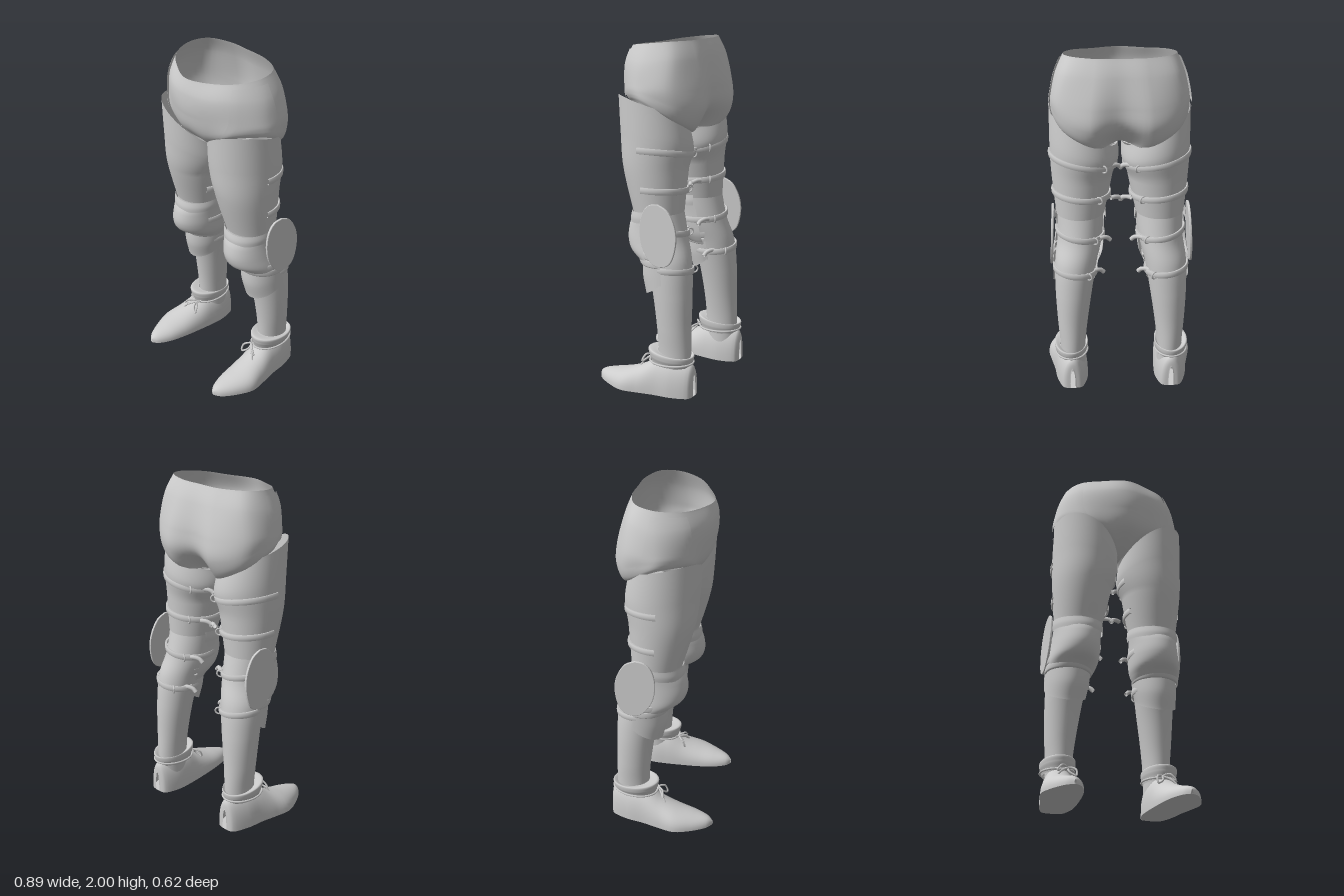
import * as THREE from 'three';
import { ParametricGeometry } from 'three/addons/geometries/ParametricGeometry.js';

const grey = new THREE.MeshStandardMaterial({ color: 0xcccccc, side: THREE.DoubleSide });
grey.name = 'grey';

function add(group, name, geometry) {
  const m = new THREE.Mesh(geometry, grey);
  m.name = name;
  group.add(m);
  return m;
}

// Smooth interpolation through rows of numbers, t in 0..1
function sample(rows, t) {
  const f = Math.min(Math.max(t, 0), 1) * (rows.length - 1);
  const i = Math.min(Math.floor(f), rows.length - 2), s = f - i;
  const at = (k) => rows[Math.min(Math.max(k, 0), rows.length - 1)];
  const [a, b, c, d] = [at(i - 1), at(i), at(i + 1), at(i + 2)];
  return b.map((p, k) => p + 0.5 * s * (c[k] - a[k]
    + s * (2 * a[k] - 5 * p + 4 * c[k] - d[k] + s * (3 * (p - c[k]) + d[k] - a[k]))));
}

// Surface through elliptical rings [y, cx, cz, rx, rz]; angle PI/2 is the front
function loft(rows, { a0 = 0, a1 = Math.PI * 2, nu = 40, nv = 24, shift = () => 0 } = {}) {
  return new ParametricGeometry((u, v, p) => {
    const [y, cx, cz, rx, rz] = sample(rows, v);
    const a = a0 + (a1 - a0) * u;
    p.set(cx + rx * Math.cos(a), y + shift(a, v, y), cz + rz * Math.sin(a));
  }, nu, nv);
}

// Trunks: half columns run from front centre, round the side, to back centre
const trunkRows = [
  [[0, 1.955, .225], [.15, 1.96, .17], [.26, 1.975, .09], [.31, 1.99, -.03], [.27, 2, -.14], [.14, 2, -.195], [0, 2, -.2]],
  [[0, 1.87, .245], [.15, 1.87, .208], [.285, 1.88, .115], [.355, 1.88, -.02], [.31, 1.9, -.17], [.15, 1.9, -.235], [0, 1.9, -.235]],
  [[0, 1.76, .24], [.15, 1.76, .205], [.295, 1.77, .12], [.377, 1.77, -.01], [.345, 1.76, -.18], [.17, 1.74, -.275], [0, 1.74, -.258]],
  [[0, 1.64, .2], [.12, 1.65, .19], [.27, 1.71, .14], [.382, 1.73, -.01], [.335, 1.66, -.19], [.17, 1.62, -.28], [0, 1.62, -.235]],
  [[0, 1.52, .06], [.07, 1.58, .14], [.23, 1.67, .15], [.38, 1.7, -.01], [.32, 1.6, -.18], [.15, 1.51, -.22], [0, 1.51, -.1]],
  [[0, 1.505, -.02], [.03, 1.53, .05], [.21, 1.65, .13], [.37, 1.68, -.01], [.3, 1.58, -.16], [.05, 1.5, -.12], [0, 1.5, -.03]],
];
const trunkCurves = trunkRows.map((row) => new THREE.CatmullRomCurve3([
  ...row.map((p) => new THREE.Vector3(...p)),
  ...row.slice(1, 6).reverse().map(([x, y, z]) => new THREE.Vector3(-x, y, z)),
], true, 'catmullrom'));
const trunkPoint = (col, v, p) =>
  p.set(...sample(trunkCurves.map((c) => c.getPoint(col / 12).toArray()), v));

// Rings of the leg, top to bottom
const thighRows = [
  [1.72, .203, 0, .192, .2], [1.5, .203, -.017, .194, .207],
  [1.3, .216, -.017, .176, .187], [1.06, .23, -.042, .14, .147],
];
const shinRows = [
  [1.1, .23, -.04, .134, .14], [.92, .235, -.065, .13, .155], [.78, .262, -.13, .121, .13],
  [.6, .278, -.16, .107, .115], [.4, .288, -.176, .088, .102], [.25, .29, -.183, .075, .098], [.1, .29, -.183, .073, .095],
];
function ringAt(y) {
  const rows = [...thighRows, ...shinRows.slice(1)];
  let i = 0;
  while (i < rows.length - 2 && rows[i + 1][0] > y) i++;
  const t = (rows[i][0] - y) / (rows[i][0] - rows[i + 1][0]);
  return rows[i].map((n, k) => n + (rows[i + 1][k] - n) * t);
}

// A flat strap that follows the leg at height y
function strap(y, grow, height, opts) {
  const [, cx, cz, rx, rz] = ringAt(y);
  const ring = (dy, g) => [y + dy, cx, cz, rx + g, rz + g];
  return loft([ring(height / 2, 0), ring(height / 2, grow), ring(-height / 2, grow), ring(-height / 2, 0)],
    { nv: 6, ...opts });
}

function buildFoot() {
  const rows = [ // z, cx, half width, height
    [-.312, .295, .015, .13], [-.295, .295, .06, .19], [-.2, .298, .092, .215], [-.1, .305, .1, .205], [0, .32, .108, .145],
    [.1, .333, .111, .105], [.2, .325, .085, .075], [.28, .318, .045, .05], [.312, .315, .006, .025],
  ];
  return new ParametricGeometry((u, v, p) => {
    const [z, cx, w, h] = sample(rows, v), s = Math.sin(u * Math.PI * 2);
    p.set(cx + w * Math.cos(u * Math.PI * 2), .005 + h * Math.pow(Math.max(s, 0), .8), z);
  }, 40, 32);
}

function buildLeg() {
  const leg = new THREE.Group();
  const PI = Math.PI;

  // Thigh plate: upper edge falls toward the crotch and the back
  add(leg, 'thighPlate', loft(thighRows, {
    nu: 48,
    shift: (a, v, y) => -Math.max(0, (y - 1.3) / .42)
      * (.2 * ((1 - Math.cos(a)) / 2) ** 2 + .1 * ((1 - Math.sin(a)) / 2) ** 1.5),
  }));
  add(leg, 'lowerLeg', loft(shinRows, { nv: 36 }));

  // Knee guard: cap, upper rim and overlapping lower bands
  const wrap = { a0: -.25, a1: PI + .25 };
  add(leg, 'kneeRim', loft([[1.075, .231, -.045, .147, .155], [1.04, .231, -.045, .15, .163], [1.01, .231, -.045, .147, .163]],
    { ...wrap, nv: 8, shift: (a) => -.02 * Math.sin(a) }));
  add(leg, 'kneeCap', loft([[1.02, .232, -.045, .14, .155], [.97, .235, -.055, .14, .185], [.9, .24, -.063, .143, .2],
    [.84, .248, -.075, .145, .19], [.8, .257, -.09, .14, .15], [.77, .263, -.1, .13, .115]], wrap));
  [[.83, .15], [.79, .135]].forEach(([y, depth], i) => add(leg, 'kneeBand' + (i + 1), loft([
    [y + .018, .262, -.1, .13, depth], [y + .015, .262, -.1, .139, depth + .015],
    [y - .018, .266, -.1, .136, depth], [y - .022, .266, -.1, .128, depth - .015],
  ], { ...wrap, nv: 8 })));

  // Pointed flap over the upper shin
  add(leg, 'shinFlap', loft([[.79, .264, -.13, .132, .155], [.73, .268, -.135, .128, .158], [.67, .275, -.14, .12, .138]],
    { a0: -.1, a1: PI + .1, nv: 12, shift: (a, v) => -.09 * v * Math.max(0, Math.sin(a)) ** .8 }));

  // Side disc at the knee; shape x becomes z
  const outline = [[-.13, 1.13], [-.19, 1.1], [-.235, 1.02], [-.245, .93], [-.22, .83], [-.17, .79],
    [-.1, .8], [-.04, .88], [-.02, .98], [-.035, 1.07], [-.075, 1.12]];
  const curve = new THREE.SplineCurve([...outline, outline[0]].map(([z, y]) => new THREE.Vector2(z, y - .96)));
  const disc = new THREE.ExtrudeGeometry(new THREE.Shape(curve.getPoints(48)),
    { depth: .008, bevelEnabled: true, bevelSize: .004, bevelThickness: .003, bevelSegments: 2 });
  disc.rotateY(-PI / 2).rotateZ(.045).translate(.398, .96, 0);
  add(leg, 'kneeSideDisc', disc);

  // Straps across the back, each with a loose end and buckle on the inner side
  [[1.39, .016, .033, .35], [1.185, .013, .015, .4], [.945, .08, .02, .4], [.74, .12, .015, .45]]
    .forEach(([y, x, rise, ext], i) => {
      add(leg, 'strap' + (i + 1), strap(y, .012, .032, {
        a0: PI - ext, a1: PI * 2 + .05, shift: (a) => rise * Math.cos(a),
      }));
      const end = new THREE.CatmullRomCurve3([[.045, .012, -.03], [.02, .012, -.015], [-.004, .002, 0], [-.02, -.015, .006]]
        .map(([dx, dy, dz]) => new THREE.Vector3(x + dx, y - rise + dy, -.1 - i * .02 + dz)));
      add(leg, 'strapEnd' + (i + 1), new THREE.TubeGeometry(end, 10, .013, 8));
      const [, cx, cz, rx, rz] = ringAt(y);
      const buckle = add(leg, 'buckle' + (i + 1), new THREE.TorusGeometry(.02, .005, 6, 12));
      buckle.position.set(cx + (rx + .014) * Math.cos(4.1), y + rise * Math.cos(4.1), cz + (rz + .014) * Math.sin(4.1));
      buckle.rotation.y = -.6;
    });

  // Shoe, ankle cuff and lace
  add(leg, 'shoe', buildFoot());
  add(leg, 'ankleCuff', loft([[.245, .292, -.18, .076, .098], [.255, .3, -.165, .098, .138], [.225, .3, -.165, .098, .137],
    [.2, .299, -.165, .09, .128], [.18, .298, -.165, .085, .12]],
  { nv: 16, shift: (a, v) => .014 * Math.sin(a) * (1 - v) }));
  const lace = (name, pts, closed) => add(leg, name, new THREE.TubeGeometry(
    new THREE.CatmullRomCurve3(pts.map((p) => new THREE.Vector3(...p)), closed), 40, .006, 6, closed));
  lace('ankleLace', Array.from({ length: 16 }, (_, i) => {
    const a = i / 8 * PI;
    return [.3 + .096 * Math.cos(a), .196 - .008 * Math.sin(a), -.167 + .134 * Math.sin(a)];
  }), true);
  lace('laceEnd', [[.25, .2, -.05], [.285, .185, -.015], [.33, .15, .015], [.355, .105, .03]], false);
  lace('laceLoop', [[.27, .195, -.03], [.235, .18, .0], [.235, .14, .015], [.27, .165, -.005]], true);
  lace('laceOuterLoop', [[.28, .195, -.03], [.31, .2, .0], [.34, .165, .01], [.31, .175, -.005]], true);
  return leg;
}

export function createModel() {
  const model = new THREE.Group();
  model.name = 'armouredLegs';
  add(model, 'trunks', new ParametricGeometry((u, v, p) => trunkPoint(u * 12, v, p), 72, 30));

  const left = buildLeg();
  // Hip panel laid just over the side of the trunks
  add(left, 'hipPanel', new ParametricGeometry((u, v, p) => {
    const front = 1.75 - .15 * v, back = 3.1 + .5 * v;
    trunkPoint(front + (back - front) * u, .06 + .62 * v, p);
    p.x += .01;
    p.z += .006 * (1 - 2 * u);
  }, 16, 12));
  left.name = 'leftLeg';
  const right = left.clone();
  right.name = 'rightLeg';
  right.scale.x = -1;
  model.add(left, right);
  return model;
}
